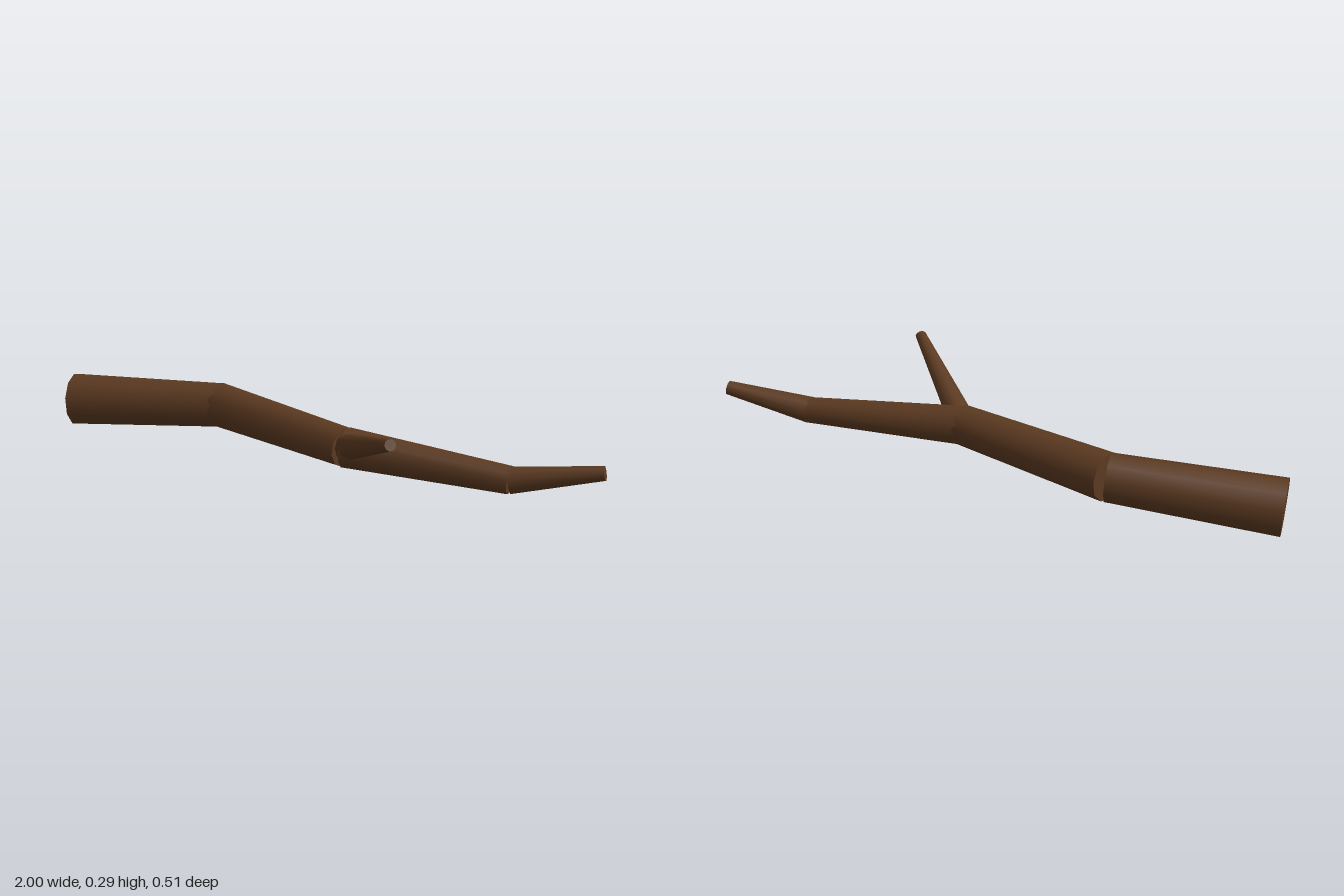
import * as THREE from 'three';

const bark = new THREE.MeshStandardMaterial({ color: 0x5c3a21 });
bark.name = 'bark brown';

// Capped, tapering ten-sided length of wood between two points
function limb(name, from, to, r0, r1) {
  const a = new THREE.Vector3(...from);
  const b = new THREE.Vector3(...to);
  const dir = b.clone().sub(a);
  const mesh = new THREE.Mesh(new THREE.CylinderGeometry(r1, r0, dir.length(), 10), bark);
  mesh.name = name;
  mesh.position.copy(a).add(b).multiplyScalar(0.5);
  mesh.quaternion.setFromUnitVectors(new THREE.Vector3(0, 1, 0), dir.normalize());
  return mesh;
}

export function createModel() {
  const group = new THREE.Group();
  group.name = 'fallenBranch';

  // Joints of the crooked main stem, thick end first
  const stem = [
    { p: [-0.973, 0.093, 0.041], r: 0.094 },
    { p: [-0.44, 0.127, -0.12], r: 0.08 },
    { p: [0.157, 0.118, -0.024], r: 0.068 },
    { p: [0.708, 0.087, -0.14], r: 0.046 },
    { p: [0.99, 0.142, -0.232], r: 0.024 },
  ];
  const names = ['stemBase', 'stemMiddle', 'stemUpper', 'stemTip'];
  names.forEach((name, i) => {
    const a = stem[i], b = stem[i + 1];
    group.add(limb(name, a.p, b.p, a.r, b.r));
  });

  // Side twig forking from the third joint
  group.add(limb('sideTwig', [0.157, 0.12, -0.024], [0.5, 0.271, 0.244], 0.047, 0.019));
  return group;
}
